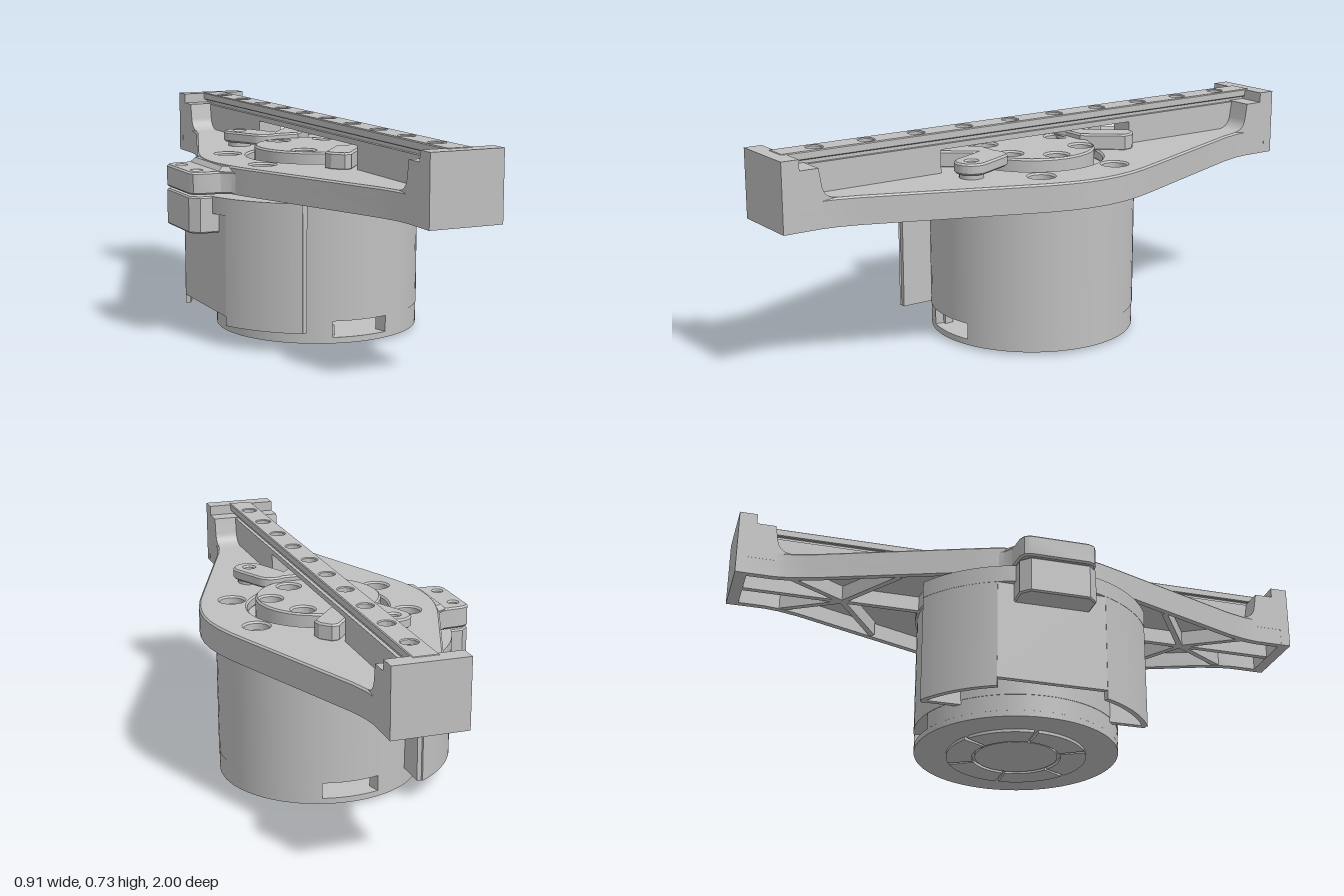
import * as THREE from 'three';
import { toCreasedNormals } from 'three/addons/utils/BufferGeometryUtils.js';

const grey = new THREE.MeshStandardMaterial({ color: 0xc0c0c0 });
grey.name = 'light grey';
const CX = 0.054; // motor axis; all parts below are placed relative to it

function add(parent, name, geo) {
  const m = new THREE.Mesh(geo, grey);
  m.name = name;
  parent.add(m);
  return m;
}

// Path from [x, z] points, flipped so that extruding goes upwards
const path = (pts, Type = THREE.Shape) => new Type(pts.map(([x, z]) => new THREE.Vector2(x, -z)));
const circle = (x, z, r, Type = THREE.Path) => new Type().absarc(x, -z, r, 0, Math.PI * 2, false);

// Horizontal slab between two heights, with an optional chamfered edge
function slab(shape, y0, y1, bevel = 0) {
  const g = new THREE.ExtrudeGeometry(shape, {
    depth: y1 - y0 - 2 * bevel, curveSegments: 40, bevelEnabled: bevel > 0,
    bevelSize: bevel, bevelThickness: bevel, bevelOffset: -bevel, bevelSegments: 1,
  });
  g.rotateX(-Math.PI / 2).translate(0, y0 + bevel, 0);
  return toCreasedNormals(g, 0.45);
}

function box(w, h, d, x, y, z) {
  return new THREE.BoxGeometry(w, h, d).translate(x, y, z);
}

function cyl(r, y0, y1, x = 0, z = 0, seg = 24) {
  return new THREE.CylinderGeometry(r, r, y1 - y0, seg).translate(x, (y0 + y1) / 2, z);
}

// Ring sector; angles run from +x towards the back
function sector(r0, r1, a0, a1) {
  const s = new THREE.Shape();
  s.absarc(0, 0, r1, a0, a1, false);
  s.absarc(0, 0, r0, a1, a0, true);
  s.closePath();
  return s;
}

// Diamond outline of the frame, narrowed by d
function outline(d, endZ) {
  const half = [[endZ, 0.123], [0.87, 0.123], [0.82, 0.13], [0.75, 0.15], [0.27, 0.335],
    [0.19, 0.365], [0.12, 0.385], [0.06, 0.396]];
  const side = [...half, [0, 0.4], ...half.map(([z, w]) => [-z, w]).reverse()];
  return [...side.map(([z, w]) => [w - d, z]), ...side.map(([z, w]) => [d - w, z]).reverse()];
}

// Straight rib under the frame
function bar(parent, x0, z0, x1, z1) {
  const m = add(parent, 'underRib', new THREE.BoxGeometry(Math.hypot(x1 - x0, z1 - z0), 0.06, 0.02));
  m.position.set((x0 + x1) / 2, 0.532, (z0 + z1) / 2);
  m.rotation.y = -Math.atan2(z1 - z0, x1 - x0);
}

function buildMotor() {
  const g = new THREE.Group();
  g.name = 'motor';
  add(g, 'motorBody', cyl(0.348, 0.085, 0.5, 0, 0, 64));
  // Cap wall with an opening at front and back
  const gap = 0.285, h = Math.PI / 2;
  for (const k of [0, Math.PI])
    add(g, 'capWall', slab(sector(0.3, 0.346, k - h + gap, k + h - gap), 0.03, 0.085));
  add(g, 'capFloor', cyl(0.346, 0.01, 0.03, 0, 0, 64));
  add(g, 'capStop', box(0.02, 0.035, 0.03, -0.088, 0.047, 0.29));
  // Raised ring segments and hub disc underneath
  for (let i = 0; i < 6; i++) {
    const a = i * Math.PI / 3;
    add(g, 'baseRingSegment', slab(sector(0.15, 0.237, a + 0.03, a + Math.PI / 3 - 0.03), 0, 0.011));
  }
  add(g, 'baseHub', cyl(0.14, 0.003, 0.012, 0, 0, 48));
  return g;
}

function buildShroud() {
  const g = new THREE.Group();
  g.name = 'shroud';
  const a0 = 121 * Math.PI / 180, a1 = 156 * Math.PI / 180, full = Math.PI * 2;
  // Two curved guards with end walls, joined by a flat middle panel and a band
  for (const [a, b] of [[a0, a1], [full - a1, full - a0]])
    add(g, 'guardPanel', slab(sector(0.437, 0.455, a, b), 0.07, 0.46));
  for (const s of [-1, 1])
    add(g, 'guardEndWall', box(0.018, 0.425, 0.13, -0.225, 0.2825, s * 0.32));
  add(g, 'guardMiddle', box(0.018, 0.36, 0.37, -0.406, 0.28, 0));
  const band = new THREE.Shape().absarc(0, 0, 0.456, a0, full - a0, false);
  band.closePath();
  add(g, 'guardBand', slab(band, 0.437, 0.494));
  add(g, 'connectorBlock', slab(path([[-0.385, -0.13], [-0.48, -0.13], [-0.509, -0.1],
    [-0.509, 0.1], [-0.48, 0.13], [-0.385, 0.13]]), 0.372, 0.494, 0.005));
  return g;
}

function buildFrame() {
  const g = new THREE.Group();
  g.name = 'frame';
  const bolts = [[-0.267, -0.15], [-0.267, 0.15], [0.261, -0.15], [0.261, 0.15]];
  // Thin deck with bolt recesses, on an edge wall
  const deck = path(outline(0, 0.95));
  deck.holes.push(circle(0, 0, 0.24), ...bolts.map(([x, z]) => circle(x, z, 0.042)));
  add(g, 'deck', slab(deck, 0.555, 0.592, 0.006));
  const wall = path(outline(0, 0.99));
  wall.holes.push(path(outline(0.022, 0.96), THREE.Path));
  add(g, 'edgeWall', slab(wall, 0.5, 0.562));
  add(g, 'hubFloor', cyl(0.355, 0.502, 0.557, 0, 0, 64));
  bolts.forEach(([x, z]) => add(g, 'deckBolt', cyl(0.022, 0.55, 0.572, x, z)));
  // Side tab with two small holes, and the ramp up to the deck
  const tab = path([[-0.35, -0.2], [-0.38, -0.155], [-0.41, -0.135], [-0.48, -0.13], [-0.5, -0.12],
    [-0.509, -0.1], [-0.509, 0.1], [-0.5, 0.12], [-0.48, 0.13], [-0.41, 0.135], [-0.38, 0.155], [-0.35, 0.2]]);
  tab.holes.push(circle(-0.468, -0.07, 0.015), circle(-0.468, 0.07, 0.015));
  add(g, 'sideTab', slab(tab, 0.5, 0.575, 0.006));
  add(g, 'tabRamp', slab(path([[-0.35, -0.17], [-0.415, -0.13], [-0.415, 0.13], [-0.35, 0.17]]),
    0.55, 0.59, 0.016));

  // Arms, identical at front and back
  for (const turn of [0, Math.PI]) {
    const arm = new THREE.Group();
    arm.name = turn ? 'backArm' : 'frontArm';
    arm.rotation.y = turn;
    const profile = new THREE.Shape([[1, 0.5], [1, 0.725], [0.94, 0.725], [0.94, 0.69], [0.876, 0.69],
      [0.868, 0.64]].map(([z, y]) => new THREE.Vector2(z, y)));
    profile.quadraticCurveTo(0.862, 0.594, 0.815, 0.592);
    profile.lineTo(0.815, 0.56).lineTo(0.965, 0.56).lineTo(0.965, 0.5);
    const block = new THREE.ExtrudeGeometry(profile, { depth: 0.247, bevelEnabled: false });
    block.rotateY(-Math.PI / 2).translate(0.1235, 0, 0);
    add(arm, 'endBlock', toCreasedNormals(block, 0.45));
    add(arm, 'railSupport', box(0.084, 0.085, 0.5, 0, 0.6275, 0.64));
    bar(arm, 0, 0.35, 0, 0.97);
    for (const s of [-1, 1]) {
      bar(arm, s * 0.23, 0.47, 0, 0.62);
      bar(arm, 0, 0.62, s * 0.12, 0.82);
    }
    g.add(arm);
  }
  return g;
}

function buildPivot() {
  const g = new THREE.Group();
  g.name = 'pivot';
  const holes = [[-0.073, -0.155], [0.097, -0.135], [0.162, 0.015], [0.062, 0.13], [-0.103, 0.12], [-0.163, -0.03]];
  const disc = circle(0, 0, 0.212, THREE.Shape);
  disc.holes.push(...holes.map(([x, z]) => circle(x, z, 0.038)));
  add(g, 'pivotDisc', slab(disc, 0.55, 0.627, 0.006));
  holes.forEach(([x, z]) => add(g, 'pivotBolt', cyl(0.022, 0.55, 0.595, x, z)));
  // Clamp levers, repeated half a turn round
  for (const turn of [0, Math.PI]) {
    const pair = new THREE.Group();
    pair.name = 'clampLevers';
    pair.rotation.y = turn;
    const a = Math.atan2(0.13, -0.055), r = 0.056;
    const lever = new THREE.Shape();
    lever.absarc(-0.143, 0.34, r, a - Math.PI / 2, a + Math.PI / 2, false);
    lever.absarc(-0.095, 0.235, r, a + Math.PI / 2, a + Math.PI * 1.5, false);
    lever.holes.push(circle(-0.143, -0.34, 0.018));
    add(pair, 'roundLever', slab(lever, 0.608, 0.646, 0.006));
    add(pair, 'leverFoot', cyl(0.04, 0.585, 0.612, -0.143, -0.34));
    add(pair, 'wedgeLever', slab(path([[0.055, -0.375], [0.08, -0.378], [0.112, -0.345], [0.118, -0.31],
      [0.02, -0.19], [-0.07, -0.19], [-0.07, -0.22]]), 0.588, 0.646, 0.006));
    g.add(pair);
  }
  return g;
}

function buildRail() {
  const g = new THREE.Group();
  g.name = 'rail';
  add(g, 'railBase', box(0.084, 0.018, 1.92, 0, 0.678, 0));
  add(g, 'railWaist', box(0.06, 0.016, 1.92, 0, 0.694, 0));
  // Top strip with a row of recessed bolts
  const top = path([[-0.042, -0.958], [0.042, -0.958], [0.042, 0.958], [-0.042, 0.958]]);
  for (let i = 0; i < 10; i++) {
    const z = -0.828 + i * 0.1835;
    top.holes.push(circle(0, z, 0.026));
    add(g, 'railBolt', cyl(0.014, 0.69, 0.713, 0, z, 16));
  }
  add(g, 'railTop', slab(top, 0.7, 0.727, 0.003));
  return g;
}

export function createModel() {
  const root = new THREE.Group();
  root.name = 'motorMount';
  const body = new THREE.Group();
  body.name = 'assembly';
  body.position.x = CX;
  body.add(buildMotor(), buildShroud(), buildFrame(), buildPivot(), buildRail());
  root.add(body);
  return root;
}
